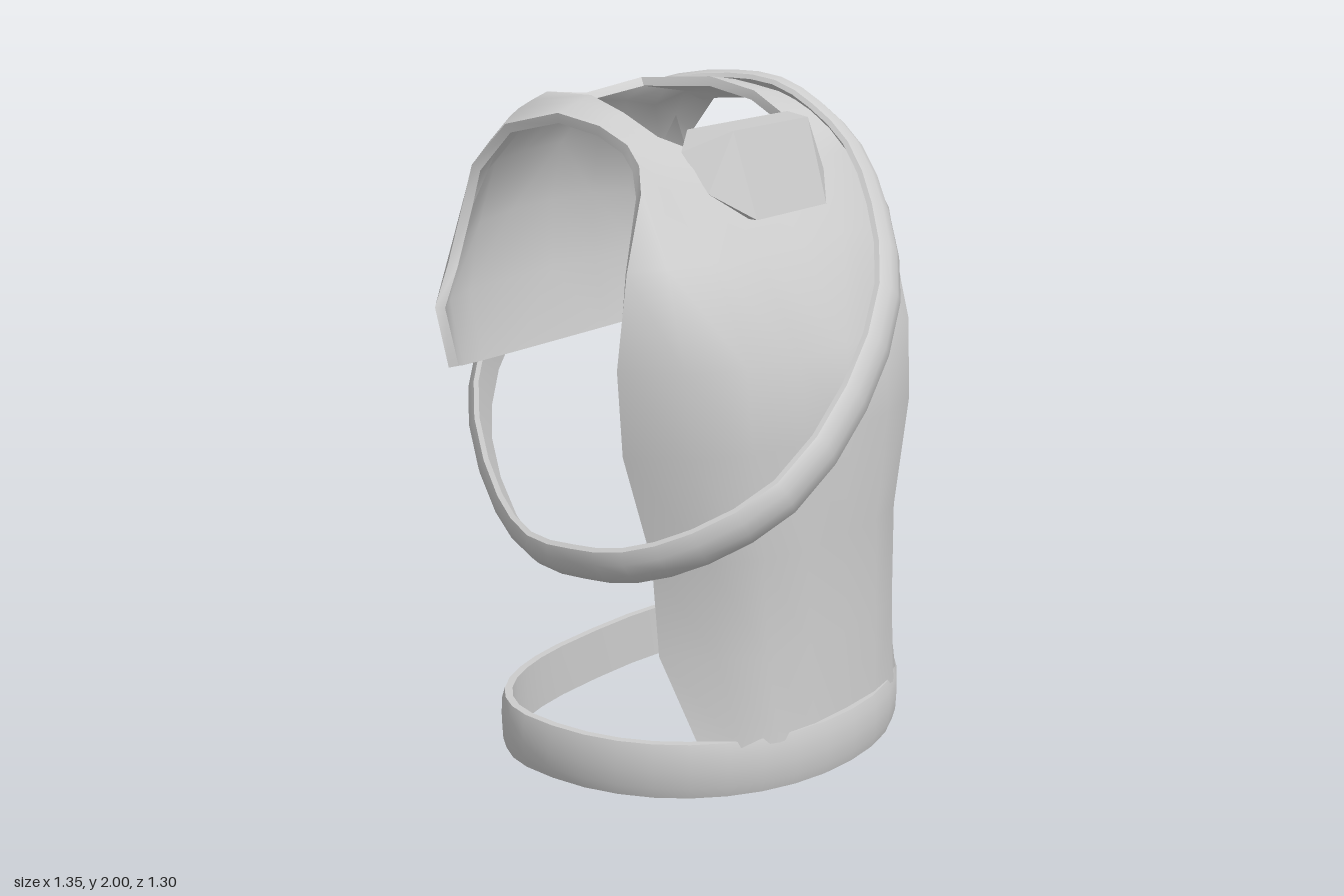
import * as THREE from 'three';
import { toCreasedNormals } from 'three/addons/utils/BufferGeometryUtils.js';
import { ConvexGeometry } from 'three/addons/geometries/ConvexGeometry.js';

const V = (x, y, z) => new THREE.Vector3(x, y, z);

function buildGeometry(points, index, crease) {
  const g = new THREE.BufferGeometry().setFromPoints(points);
  g.setIndex(index);
  return toCreasedNormals(g, crease);
}

// Half cross-sections of the vest from front hem, over the shoulder, to back hem:
// centre or neck point, outer edge point, roundness of the curve between them
const ROWS = [
  [0, 0.15, 0.61, 0.48, 0.15, 0.42, 1],
  [0, 0.42, 0.60, 0.52, 0.42, 0.30, 1],
  [0, 0.72, 0.59, 0.54, 0.72, 0.29, 1],
  [0, 1.05, 0.60, 0.64, 1.05, 0.27, 1],
  [0, 1.30, 0.585, 0.65, 1.30, 0.26, 1],
  [0, 1.58, 0.42, 0.64, 1.58, 0.29, 1],
  [0, 1.78, 0.27, 0.53, 1.78, 0.25, 0.5],
  [0.20, 1.85, 0.19, 0.49, 1.85, 0.21, 0],
  [0.30, 1.90, 0.12, 0.47, 1.90, 0.15, 0],
  [0.31, 1.96, 0.00, 0.45, 1.94, 0.03, 0],
  [0.28, 1.995, -0.15, 0.46, 1.965, -0.12, 0],
  [0.22, 1.98, -0.38, 0.49, 1.92, -0.30, 0.3],
  [0, 1.95, -0.42, 0.51, 1.79, -0.42, 0.7],
  [0, 1.80, -0.55, 0.53, 1.68, -0.44, 1],
  [0, 1.60, -0.60, 0.58, 1.50, -0.46, 1],
  [0, 1.37, -0.61, 0.65, 1.38, -0.45, 1],
  [0, 1.14, -0.57, 0.64, 1.20, -0.41, 1],
];
const SPREAD = [0, 0.33, 0.62, 0.84, 1];
const BEND = [0, 0.03, 0.17, 0.5, 1];

function vestGeometry(thickness) {
  const n = SPREAD.length, m = ROWS.length, outer = [], index = [];
  for (const [xi, yi, zi, xo, yo, zo, round] of ROWS) {
    SPREAD.forEach((s, j) => {
      const b = THREE.MathUtils.lerp(s, BEND[j], round);
      outer.push(V(xi + (xo - xi) * s, yi + (yo - yi) * b, zi + (zo - zi) * b));
    });
  }
  const quad = (list, a, b, c, d) => list.push(a, b, c, a, c, d);
  for (let i = 0; i < m - 1; i++)
    for (let j = 0; j < n - 1; j++)
      quad(index, i * n + j, i * n + j + 1, (i + 1) * n + j + 1, (i + 1) * n + j);

  // Inner surface, set back along the normals
  const skin = new THREE.BufferGeometry().setFromPoints(outer);
  skin.setIndex(index);
  skin.computeVertexNormals();
  const normals = skin.attributes.normal, N = outer.length;
  const inner = outer.map((p, k) => {
    const v = V(0, 0, 0).fromBufferAttribute(normals, k);
    if (p.x === 0) v.setX(0).normalize();
    return p.clone().addScaledVector(v, -thickness);
  });
  const faces = [...index];
  for (let k = 0; k < index.length; k += 3) faces.push(index[k] + N, index[k + 2] + N, index[k + 1] + N);

  // Rim walls: hems, arm openings and neck opening
  const wall = (a, b) => quad(faces, b, a, a + N, b + N);
  for (let j = 0; j < n - 1; j++) {
    wall(j, j + 1);
    wall((m - 1) * n + j + 1, (m - 1) * n + j);
  }
  for (let i = 0; i < m - 1; i++) {
    wall(i * n + n - 1, (i + 1) * n + n - 1);
    if (ROWS[i][0] || ROWS[i + 1][0]) wall((i + 1) * n, i * n);
  }

  // Mirror to the other half
  const half = [...outer, ...inner];
  const all = [...half, ...half.map((p) => V(-p.x, p.y, p.z))];
  const mirrored = [];
  for (let k = 0; k < faces.length; k += 3)
    mirrored.push(faces[k] + 2 * N, faces[k + 2] + 2 * N, faces[k + 1] + 2 * N);
  return buildGeometry(all, [...faces, ...mirrored], 0.7);
}

// Closed band swept along a loop; edge sets how high the dome starts at the rims
function bandGeometry(path, centre, width, thickness, edge) {
  const shoulder = 0.8 + 0.2 * edge;
  const profile = [[-0.5, -0.2], [-0.5, edge], [-0.3, shoulder], [0, 1], [0.3, shoulder], [0.5, edge], [0.5, -0.2]];
  const n = path.length, m = profile.length, points = [], index = [];
  path.forEach((p, i) => {
    const tangent = path[(i + 1) % n].clone().sub(path[(i + n - 1) % n]).normalize();
    const out = p.clone().sub(centre);
    out.addScaledVector(tangent, -out.dot(tangent)).normalize();
    const across = tangent.clone().cross(out);
    for (const [a, o] of profile)
      points.push(p.clone().addScaledVector(across, a * width).addScaledVector(out, o * thickness));
    for (let j = 0; j < m; j++) {
      const a = i * m + j, b = i * m + (j + 1) % m;
      const d = ((i + 1) % n) * m + j, c = ((i + 1) % n) * m + (j + 1) % m;
      index.push(a, c, d, a, b, c);
    }
  });
  return buildGeometry(points, index, 0.75);
}

export function createModel() {
  const group = new THREE.Group();
  const material = new THREE.MeshStandardMaterial({ color: 0xcccccc });
  material.name = 'light grey';
  const add = (name, geometry) => {
    const mesh = new THREE.Mesh(geometry, material);
    mesh.name = name;
    group.add(mesh);
  };

  add('vest', vestGeometry(0.03));

  // Belt: elliptical at the front, squarer at the back
  const beltPath = [];
  for (let i = 0; i < 36; i++) {
    const a = (i / 36) * Math.PI * 2, s = Math.sin(a), c = Math.cos(a);
    const power = (v) => Math.sign(v) * Math.abs(v) ** (s > 0 ? 0.95 : 0.75);
    beltPath.push(V(0.645 * power(c), 0.085, (s > 0 ? 0.61 : 0.41) * power(s)));
  }
  add('belt', bandGeometry(beltPath, V(0, 0.085, 0), 0.17, 0.03, 0.6));

  // Diagonal strap: left shoulder, across the chest, right hip, up the back
  const strapCurve = new THREE.CatmullRomCurve3([
    V(0.455, 1.94, 0), V(0.46, 1.88, 0.13), V(0.45, 1.78, 0.27), V(0.39, 1.61, 0.41),
    V(0.25, 1.4, 0.545), V(0, 1.14, 0.605), V(-0.3, 0.91, 0.58), V(-0.49, 0.78, 0.43),
    V(-0.58, 0.71, 0.25), V(-0.6, 0.69, 0.08), V(-0.59, 0.69, -0.1), V(-0.54, 0.77, -0.28),
    V(-0.45, 0.96, -0.46), V(-0.3, 1.14, -0.57), V(0, 1.45, -0.61), V(0.2, 1.75, -0.565),
    V(0.29, 1.87, -0.48), V(0.38, 1.93, -0.34), V(0.44, 1.95, -0.16),
  ], true);
  const strapPath = strapCurve.getPoints(38).slice(0, -1);
  add('shoulderStrap', bandGeometry(strapPath, V(0, 1.2, 0), 0.15, 0.04, 0.2));

  // Faceted block at the collar, flaring toward the back
  const blockPoints = [];
  for (const s of [-1, 1])
    blockPoints.push(
      V(s * 0.18, 1.92, 0.3), V(s * 0.17, 1.67, 0.38), V(s * 0.28, 1.86, 0.19),
      V(s * 0.28, 1.75, 0.29), V(s * 0.24, 1.92, 0.18), V(s * 0.17, 1.67, 0.35));
  add('collarBlock', new ConvexGeometry(blockPoints));

  return group;
}
